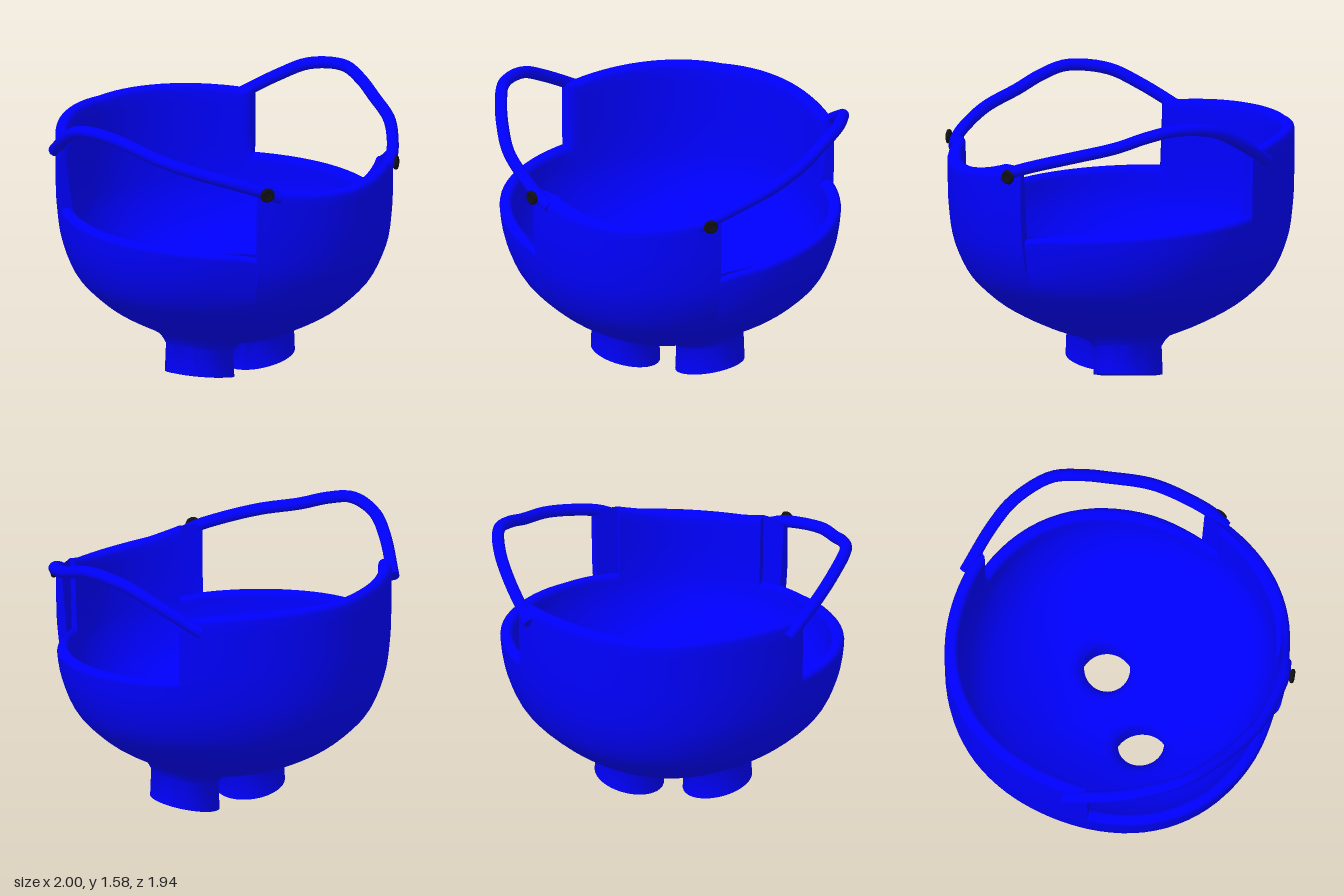
import * as THREE from 'three';
import { toCreasedNormals } from 'three/addons/utils/BufferGeometryUtils.js';

const { PI, sin, cos, hypot, atan2 } = Math;
const blue = new THREE.MeshStandardMaterial({ color: 0x0000ff, side: THREE.DoubleSide });
const black = new THREE.MeshStandardMaterial({ color: 0x101010 });
const smooth = THREE.MathUtils.smoothstep;

// Bowl profiles as (radius, height)
const table = pts => new THREE.SplineCurve(pts.map(p => new THREE.Vector2(...p))).getPoints(240);
const outer = table([[0, 0.19], [0.25, 0.23], [0.42, 0.285], [0.635, 0.395], [0.77, 0.5], [0.865, 0.61],
  [0.932, 0.78], [0.957, 0.95], [0.964, 1.1], [0.966, 1.45]]);
const inner = table([[0, 0.26], [0.25, 0.29], [0.42, 0.35], [0.605, 0.455], [0.725, 0.55], [0.805, 0.65],
  [0.867, 0.8], [0.885, 0.95], [0.89, 1.1], [0.892, 1.45]]);

function lookup(tab, key, val, v) {
  let i = 1;
  while (i < tab.length - 1 && tab[i][key] < v) i++;
  const a = tab[i - 1], b = tab[i];
  const t = THREE.MathUtils.clamp((v - a[key]) / (b[key] - a[key] || 1), 0, 1);
  return a[val] + (b[val] - a[val]) * t;
}

// Slightly squared plan; angle 0 is the front, growing towards +x
const plan = a => 1 - 0.004 * sin(a) ** 2 - 0.032 * sin(2 * a) ** 2;
const FRONT = 0.618, BACK = 2.138, FLOOR = 0.5, EDGE = 0.07;

// Height of the rim in each of the three zones
function rimHeight(a, zone) {
  if (zone === 'front') return 1.24 + 0.07 * (a / FRONT) ** 2;
  if (zone === 'back') {
    const t = (PI - a) / (PI - BACK);
    return 1.397 + 0.05 * t - 0.085 * t * t;
  }
  return 0.9 + 0.1 * ((a - FRONT) / (BACK - FRONT)) ** 0.7;
}

// Outer offset: the front panel overlaps the side walls a little
function overlap(a, zone, y) {
  const fade = smooth(y, 0.62, 0.8);
  if (zone === 'front') return 0.006 * fade;
  return zone === 'side' ? -0.015 * fade * (1 - smooth(a, FRONT, 1)) : 0;
}

// Inner offset: the upright edge of the back panel is rounded off inside
function edgeRound(a, zone, y) {
  if (zone !== 'back') return 0;
  const t = Math.max(0, 1 - (a - BACK) / EDGE);
  return 0.05 * (1 - Math.sqrt(1 - t * t)) * smooth(y, 1, 1.05);
}

// Turns the inside of the wall so that the front panel ends straight across
function innerAngle(a, y) {
  const t = Math.min(1, (a - FRONT) / (BACK - FRONT));
  const shift = t < 0 ? a / FRONT : 1 - t;
  return a - 0.15 * shift * smooth(y, 0.45, 0.8);
}

// One cross-section of the wall: up the outside, over the round rim, down the inside
function wallSection({ a, zone }) {
  const h = rimHeight(a, zone), round = 0.03, out = [], into = [];
  const at = (angle, r, y) => [sin(angle) * r * plan(angle), y, cos(angle) * r * plan(angle)];
  const outside = (y, inset) => at(a, lookup(outer, 'y', 'x', y) + overlap(a, zone, y) - inset, y);
  const inside = (y, inset) =>
    at(innerAngle(a, y), lookup(inner, 'y', 'x', y) + Math.max(inset, edgeRound(a, zone, y)), y);
  const y0 = lookup(outer, 'x', 'y', FLOOR), y1 = lookup(inner, 'x', 'y', FLOOR);
  const split = 0.86, low = 14, high = 8;
  const row = (base, j) => j <= low
    ? base + (split - base) * (j / low) ** 1.4
    : split + (h - round - split) * (j - low) / high;
  for (let j = 0; j <= low + high; j++) {
    out.push(outside(row(y0, j), 0));
    into.unshift(inside(row(y1, j), 0));
  }
  for (let k = 1; k <= 3; k++) {
    const y = h - round * (1 - sin(k * PI / 6)), inset = round * (1 - cos(k * PI / 6));
    out.push(outside(y, inset));
    into.unshift(inside(y, inset));
  }
  return [...out, ...into];
}

// One cross-section of the floor: inwards, down through a leg and back outside
function floorSection([bx, bz]) {
  const cx = 0.245, cz = 0.043, len = hypot(bx - cx, bz - cz);
  const dx = (bx - cx) / len, dz = (bz - cz) / len;
  const steps = [0, 0.3, 0.6, 0.78, 0.88, 0.95, 1];
  const floorPart = (tab, legR) => steps.map(s => {
    const d = (len - legR) * (1 - s), x = cx + dx * (legR + d), z = cz + dz * (legR + d);
    const r = hypot(x, z) / plan(atan2(x, z));
    return [x, lookup(tab, 'x', 'y', r) - 0.05 * Math.max(0, 1 - d / 0.06) ** 2, z];
  });
  // Domed underside of the foot
  const foot = r => {
    const x = cx + dx * r, z = cz + dz * r;
    return [x, 0.42 * (x * x + (z + 0.04) ** 2), z];
  };
  return [...floorPart(inner, 0.127), foot(0.15), foot(0.192), ...floorPart(outer, 0.186).reverse()];
}

// Joins neighbouring cross-sections with triangles
function loft(sections, out) {
  for (let i = 0; i < sections.length - 1; i++) {
    const p = sections[i], q = sections[i + 1];
    for (let j = 0; j < p.length - 1; j++)
      out.push(p[j], q[j], q[j + 1], p[j], q[j + 1], p[j + 1]);
  }
}

function bowlGeometry() {
  const columns = [];
  const zone = (name, from, to, n) => {
    for (let i = 0; i <= n; i++) columns.push({ a: from + (to - from) * i / n, zone: name });
  };
  zone('front', 0, FRONT, 10);
  zone('side', FRONT, BACK, 22);
  zone('back', BACK, BACK + EDGE, 5);
  zone('back', BACK + EDGE, PI, 15);

  // Boundary of half the floor: the arc, then the centre line
  const edge = columns.map(({ a }) => [sin(a) * FLOOR * plan(a), cos(a) * FLOOR * plan(a)]);
  for (let i = 1; i <= 20; i++) edge.push([0, FLOOR * (i / 10 - 1)]);

  const half = [];
  loft(columns.map(wallSection), half);
  loft(edge.map(floorSection), half);
  const mirrored = half.map(([x, y, z]) => [-x, y, z]).reverse();
  const geo = new THREE.BufferGeometry();
  geo.setAttribute('position', new THREE.Float32BufferAttribute([...half, ...mirrored].flat(), 3));
  return toCreasedNormals(geo, 0.8);
}

export function createModel() {
  const model = new THREE.Group();
  const add = (name, geo, mat = blue, parent = model) => {
    const mesh = new THREE.Mesh(geo, mat);
    mesh.name = name;
    parent.add(mesh);
    return mesh;
  };

  add('bowlWithLegs', bowlGeometry());

  for (const s of [1, -1]) {
    const side = s > 0 ? 'left' : 'right';

    // Shoulder strap from the front panel to the corner of the back panel
    const path = new THREE.CatmullRomCurve3([
      [0.43, 1.245, 0.83], [0.51, 1.285, 0.79], [0.625, 1.335, 0.69], [0.765, 1.395, 0.53], [0.87, 1.455, 0.32],
      [0.93, 1.515, 0.16], [0.966, 1.552, 0], [0.93, 1.525, -0.23], [0.86, 1.445, -0.39], [0.72, 1.3, -0.61],
    ].map(([x, y, z]) => new THREE.Vector3(s * x, y, z)));
    const strap = new THREE.Group();
    strap.name = side + 'Strap';
    model.add(strap);
    add('strapBand', new THREE.TubeGeometry(path, 48, 0.034, 12), blue, strap);
    for (const t of [0, 1]) {
      const cap = add('strapEnd', new THREE.CircleGeometry(0.034, 12), blue, strap);
      const p = path.getPoint(t);
      cap.position.copy(p);
      cap.lookAt(p.clone().addScaledVector(path.getTangent(t), t ? 1 : -1));
    }

    // Button holding the strap
    const button = new THREE.Group();
    button.name = side + 'Button';
    button.position.set(s > 0 ? 0.505 : -0.535, s > 0 ? 1.255 : 1.285, 0.828);
    button.rotation.y = s * 0.55;
    add('buttonRim', new THREE.TorusGeometry(0.028, 0.013, 8, 20), black, button);
    add('buttonFace', new THREE.CylinderGeometry(0.028, 0.028, 0.012, 20), black, button).rotation.x = PI / 2;
    model.add(button);
  }
  return model;
}
